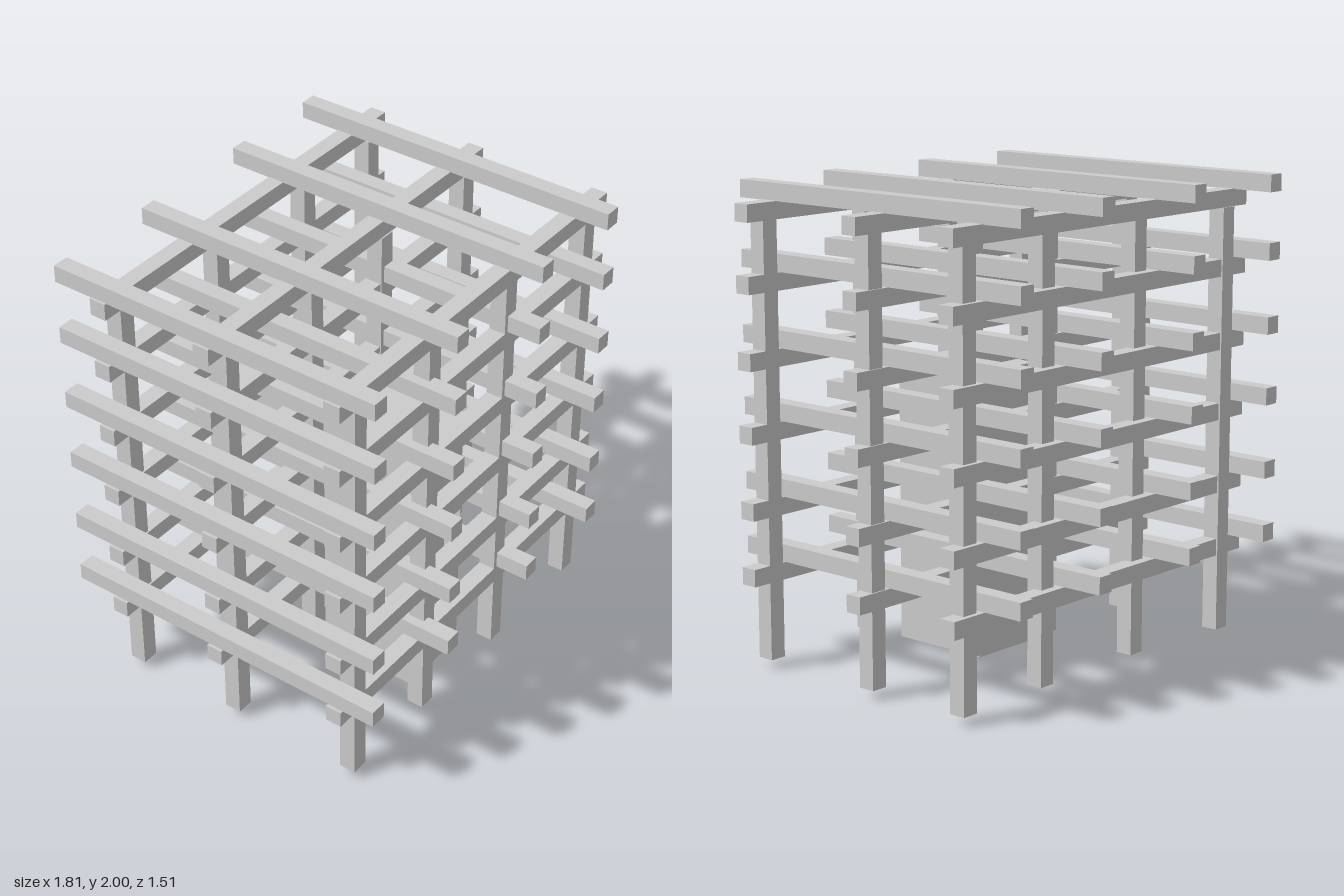
import * as THREE from 'three';

const grey = new THREE.MeshStandardMaterial({ color: 0xcccccc, flatShading: true });
const thin = new THREE.MeshStandardMaterial({ color: 0xcccccc, flatShading: true, side: THREE.DoubleSide });

const T = 0.073; // timber thickness
const POST_BOTTOM = 0.04, POST_TOP = 1.857;
const BEAM_LEVELS = [0.405, 0.68, 0.995, 1.295, 1.605, 1.893]; // centre heights of the cross beams

function timber(parent, name, w, h, d, x, y, z) {
  const mesh = new THREE.Mesh(new THREE.BoxGeometry(w, h, d), grey);
  mesh.name = name;
  mesh.position.set(x, y, z);
  parent.add(mesh);
}

function panel(parent, name, geometry, position, rx = 0, ry = 0) {
  const mesh = new THREE.Mesh(geometry, thin);
  mesh.name = name;
  mesh.position.set(...position);
  mesh.rotation.set(rx, ry, 0);
  parent.add(mesh);
}

// Hollow shaft of thin panels; the front wall has two openings on a 3 x 5 grid
function createShaft() {
  const shaft = new THREE.Group();
  shaft.name = 'shaft';
  const w = 0.345, h = 1.21, d = 0.453;
  const cw = w / 3, ch = h / 5;
  const front = new THREE.Shape([
    [0, 0], [w, 0], [w, 2 * ch], [2 * cw, 2 * ch], [2 * cw, 3 * ch], [w, 3 * ch],
    [w, h], [cw, h], [cw, 4 * ch], [0, 4 * ch],
  ].map(([x, y]) => new THREE.Vector2(x, y)));
  panel(shaft, 'shaftFront', new THREE.ShapeGeometry(front), [-w / 2, 0, d / 2]);
  panel(shaft, 'shaftBack', new THREE.PlaneGeometry(w, h), [0, h / 2, -d / 2], 0, Math.PI);
  for (const s of [-1, 1]) {
    panel(shaft, s > 0 ? 'shaftLeftWall' : 'shaftRightWall',
      new THREE.PlaneGeometry(d, h), [s * w / 2, h / 2, 0], 0, s * Math.PI / 2);
  }
  panel(shaft, 'shaftRoof', new THREE.PlaneGeometry(w, d), [0, h, 0], -Math.PI / 2);
  panel(shaft, 'shaftFloor', new THREE.PlaneGeometry(w, d), [0, 0, 0], Math.PI / 2);
  shaft.position.set(-0.0425, 0, 0.2315);
  return shaft;
}

export function createModel() {
  const model = new THREE.Group();
  model.name = 'timberFrame';

  // Posts as [x, z], slightly off the beam lines in the back row
  const posts = new THREE.Group();
  posts.name = 'posts';
  const feet = [
    [-0.775, 0.569], [-0.302, 0.569], [0.215, 0.569], [0.785, 0.569],
    [-0.773, -0.025], [-0.248, -0.025], [0.215, -0.025], [0.795, -0.025],
    [-0.775, -0.539], [-0.248, -0.492], [0.325, -0.496], [0.795, -0.512],
  ];
  for (const [x, z] of feet) {
    timber(posts, 'post', T, POST_TOP - POST_BOTTOM, T, x, (POST_TOP + POST_BOTTOM) / 2, z);
  }
  model.add(posts);

  // Each level: three beams along x carrying four joists along z
  const levels = new THREE.Group();
  levels.name = 'levels';
  for (const y of BEAM_LEVELS) {
    for (const z of [0.569, -0.031, -0.532]) {
      timber(levels, 'crossBeam', 1.81, T, T, 0, y, z);
    }
    const joistY = Math.min(y + T + 0.002, 2 - T / 2);
    for (const x of [-0.857, -0.343, 0.233, 0.703]) {
      timber(levels, 'joist', T, T, 1.506, x, joistY, 0);
    }
  }
  model.add(levels);

  model.add(createShaft());
  return model;
}
